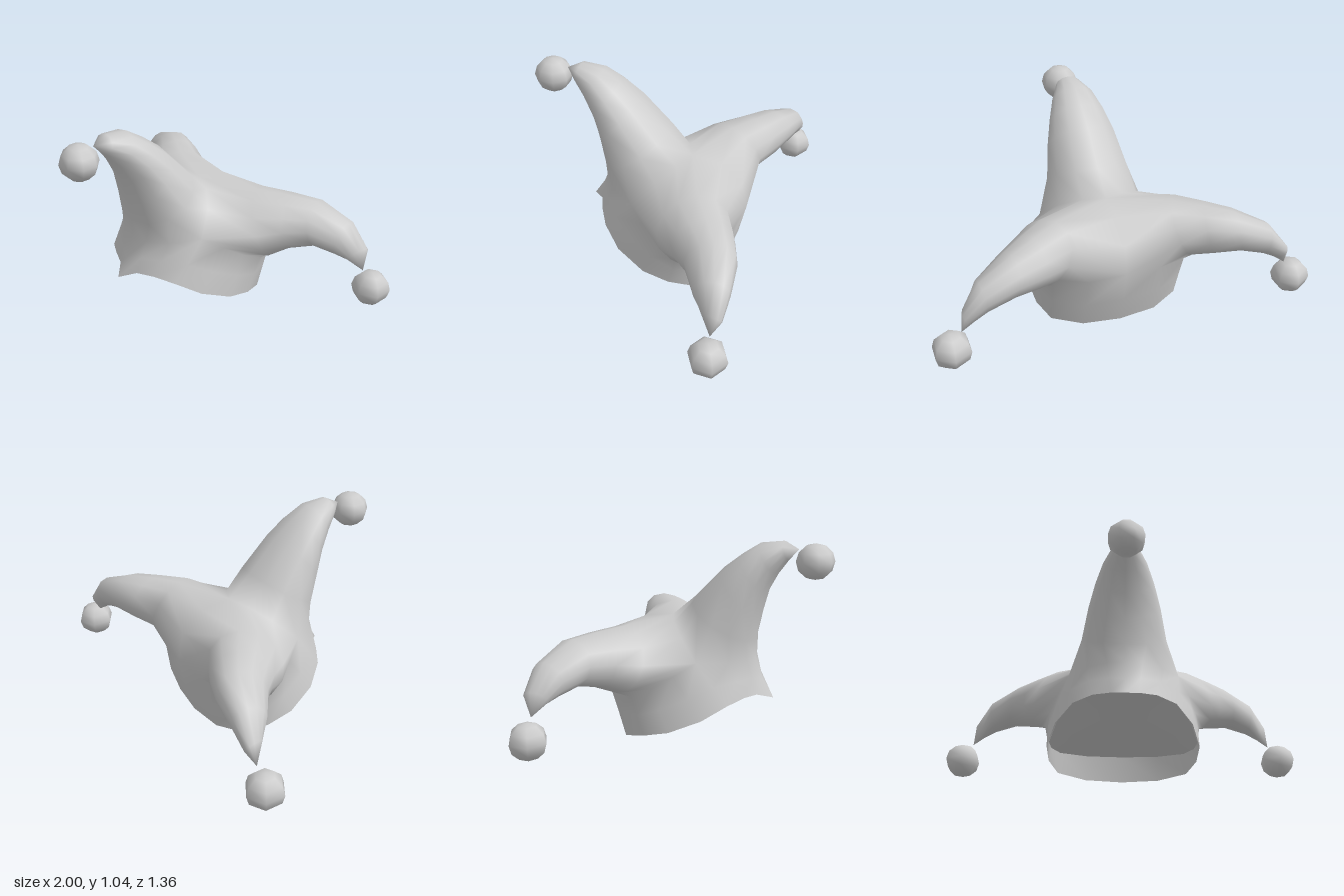
import * as THREE from 'three';
import { mergeVertices } from 'three/addons/utils/BufferGeometryUtils.js';

const V = (x, y, z) => new THREE.Vector3(x, y, z);
const mirror = p => V(-p.x, p.y, p.z);

// Half loops, front centre round the left side to back centre
const rimHalf = [
  V(0, .2, .38), V(.07, .23, .31), V(.16, .235, .27), V(.26, .215, .21), V(.35, .15, .1),
  V(.4, .085, -.06), V(.395, .05, -.2), V(.35, .02, -.32), V(.2, .005, -.4), V(0, 0, -.42),
];
const middleHalf = [
  V(0, .3, .32), V(.08, .32, .285), V(.18, .325, .235), V(.28, .31, .14), V(.355, .26, .03),
  V(.4, .2, -.11), V(.405, .16, -.23), V(.355, .16, -.36), V(.2, .16, -.45), V(0, .16, -.465),
];
const crownHalf = [
  V(0, .41, .28), V(.09, .415, .26), V(.19, .42, .19), V(.29, .435, .05), V(.35, .37, -.05),
  V(.395, .31, -.15), V(.425, .265, -.25), V(.36, .29, -.4), V(.19, .32, -.475), V(0, .34, -.5),
];
// Seams where the horns meet, running down from the peak
const peak = V(0, .61, -.19);
const frontSeam = [V(.11, .595, -.14), V(.215, .54, -.06)];
const backSeam = [V(0, .59, -.35), V(0, .49, -.47)];

const fullLoop = half => [...half, ...half.slice(1, -1).reverse().map(mirror)];

// Twelve-point oval through top and bottom; side points to its first vertex
function oval([top, bottom, side]) {
  const c = top.clone().add(bottom).multiplyScalar(.5);
  const down = bottom.clone().sub(c);
  return Array.from({ length: 12 }, (_, i) => {
    const t = i * Math.PI / 6;
    return c.clone().addScaledVector(side, Math.cos(t)).addScaledVector(down, Math.sin(t));
  });
}

// Join successive closed loops with triangles
function loft(out, rings, flip) {
  for (let i = 0; i < rings.length - 1; i++) {
    const n = rings[i].length;
    for (let j = 0; j < n; j++) {
      const k = (j + 1) % n;
      const a = rings[i][j], b = rings[i][k], c = rings[i + 1][k], d = rings[i + 1][j];
      const tris = flip ? [a, d, c, a, c, b] : [a, b, c, a, c, d];
      for (const p of tris) out.push(p.x, p.y, p.z);
    }
  }
}

// Smooth geometry from loose triangles
function smooth(out) {
  const raw = new THREE.BufferGeometry();
  raw.setAttribute('position', new THREE.Float32BufferAttribute(out, 3));
  const geometry = mergeVertices(raw, 1e-4);
  geometry.computeVertexNormals();
  return geometry;
}

function hatGeometry() {
  const out = [];
  // Flared band from the rim up to the horn roots
  loft(out, [rimHalf, middleHalf, crownHalf].map(fullLoop), false);

  // Front horn, rising and curling forward
  const frontRoot = [
    ...crownHalf.slice(0, 4).reverse(), ...crownHalf.slice(1, 4).map(mirror),
    ...[...frontSeam].reverse().map(mirror), peak, ...frontSeam,
  ];
  const frontRings = [
    [V(0, .72, -.06), V(0, .51, .28), V(.225, 0, 0)],
    [V(0, .885, .1), V(0, .64, .305), V(.19, 0, 0)],
    [V(0, .965, .205), V(0, .77, .34), V(.155, 0, 0)],
    [V(0, 1.025, .3), V(0, .87, .395), V(.115, 0, 0)],
    [V(0, 1.04, .42), V(0, .945, .45), V(.065, 0, 0)],
    [V(0, 1, .5), V(0, 1, .5), V(0, 0, 0)],
  ].map(oval);
  loft(out, [frontRoot, ...frontRings], true);

  // Side horns, sweeping out, back and down
  const sideRoot = [...crownHalf.slice(3), ...[...backSeam].reverse(), peak, ...frontSeam];
  const sideRings = [
    [V(.31, .61, -.32), V(.455, .29, -.33), V(.085, 0, .165)],
    [V(.45, .6, -.41), V(.52, .33, -.41), V(.06, 0, .145)],
    [V(.58, .585, -.49), V(.63, .36, -.48), V(.03, 0, .125)],
    [V(.755, .51, -.55), V(.735, .335, -.52), V(.01, 0, .09)],
    [V(.85, .385, -.575), V(.79, .31, -.55), V(-.01, 0, .055)],
    [V(.86, .265, -.57), V(.86, .265, -.57), V(0, 0, 0)],
  ].map(oval);
  const horn = [sideRoot, ...sideRings];
  loft(out, horn, false);
  loft(out, horn.map(r => r.map(mirror)), true);
  return smooth(out);
}

export function createModel() {
  const group = new THREE.Group();
  group.name = 'jesterHat';
  const cloth = new THREE.MeshStandardMaterial({ color: 0xcccccc, side: THREE.DoubleSide });
  const add = (name, geometry, material) => {
    const mesh = new THREE.Mesh(geometry, material);
    mesh.name = name;
    group.add(mesh);
    return mesh;
  };
  add('hat', hatGeometry(), cloth);

  // Shallow lining: a low wall at the back and a ceiling across the opening
  const rim = fullLoop(rimHalf);
  const edge = rim.map(p => V(p.x * .97, Math.max(p.y + .01, .1 - .1 * p.z), p.z * .97));
  const center = rim.map(() => V(0, .22, -.03));
  const wall = [], ceiling = [];
  loft(wall, [rim, edge], true);
  loft(ceiling, [edge, center], true);
  add('liningWall', smooth(wall), cloth);
  add('liningCeiling', smooth(ceiling), cloth);

  // Bells at the horn tips
  const metal = new THREE.MeshStandardMaterial({ color: 0xcccccc });
  const bells = [
    ['frontBell', 8, V(0, .943, .585)],
    ['leftBell', 6, V(.913, .183, -.58)],
    ['rightBell', 6, V(-.913, .165, -.56)],
  ];
  for (const [name, sides, position] of bells) {
    const bell = add(name, new THREE.SphereGeometry(.1, sides, 6), metal);
    bell.rotation.y = Math.PI / sides;
    bell.scale.y = .93;
    bell.position.copy(position);
  }
  return group;
}
